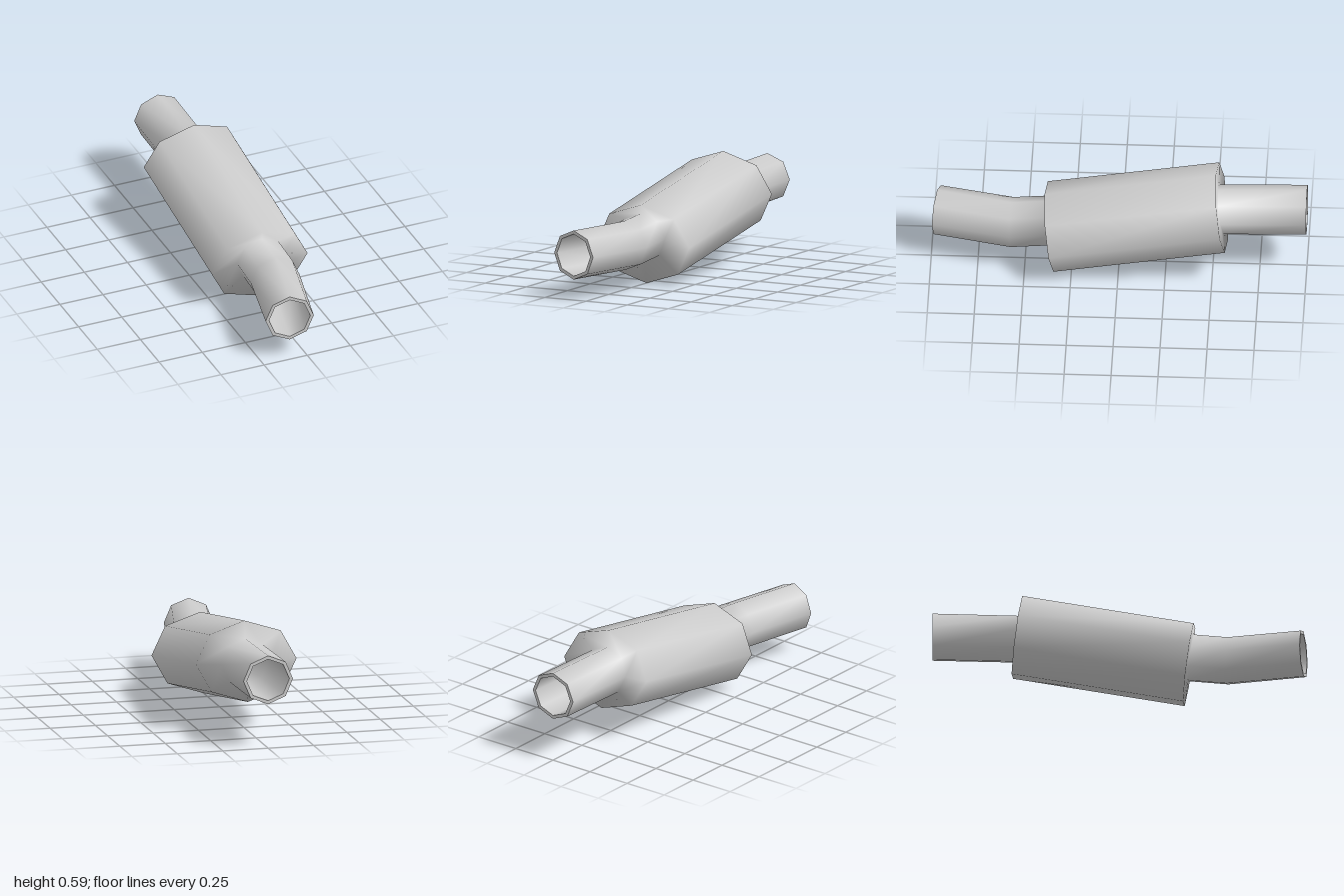
import * as THREE from 'three';

const SIDES = 8;

// One octagonal cross-section: centre, half width, half height, pitch and yaw
function ring([x, y, z, rx, ry, pitch = 0, yaw = 0]) {
  const turn = new THREE.Euler(pitch, yaw, 0, 'YXZ');
  return Array.from({ length: SIDES }, (_, k) => {
    const a = (k / SIDES) * Math.PI * 2;
    return new THREE.Vector3(rx * Math.cos(a), ry * Math.sin(a), 0)
      .applyEuler(turn).add(new THREE.Vector3(x, y, z));
  });
}

// Skin over rings ordered front to back; shared vertices give smooth normals
function loft(rings, inward = false) {
  const points = rings.flat();
  const index = [];
  for (let i = 0; i < rings.length - 1; i++) {
    for (let k = 0; k < SIDES; k++) {
      const n = (k + 1) % SIDES;
      const a = i * SIDES + k, b = i * SIDES + n;
      const c = a + SIDES, d = b + SIDES;
      if (inward) index.push(a, b, d, a, d, c);
      else index.push(a, d, b, a, c, d);
    }
  }
  const geometry = new THREE.BufferGeometry().setFromPoints(points);
  geometry.setIndex(index);
  geometry.computeVertexNormals();
  return geometry;
}

export function createModel() {
  const group = new THREE.Group();
  group.name = 'muffler';
  const material = new THREE.MeshStandardMaterial({ color: 0xcccccc, side: THREE.DoubleSide });
  const add = (name, geometry) => {
    const mesh = new THREE.Mesh(geometry, material);
    mesh.name = name;
    group.add(mesh);
  };

  const R = 0.132, W = 0.136, TILT = 0.15;
  const front = [-0.09, 0.241, 0.973, R, R, 0, -0.17];
  const bend = [0, 0.241, 0.57, 0.137, R, 0.04, -0.08];
  const inlet = [0, 0.258, 0.375, W, R, TILT];
  const outlet = [0, 0.365, -0.545, W, R, TILT];
  const back = [0, 0.376, -1, W, R];

  // Outer skin: bent front pipe, oval tilted can, straight rear pipe
  add('pipeAndCan', loft([
    front, bend, inlet,
    [0, 0.218, 0.365, 0.277, 0.217, TILT],
    [0, 0.376, -0.547, 0.277, 0.217, TILT],
    outlet, back,
  ].map(ring)));

  // Bore running right through
  const bore = (s) => [s[0], s[1], s[2], s[3] - 0.019, s[4] - 0.019, ...s.slice(5)];
  add('bore', loft([front, bend, inlet, outlet, back].map((s) => ring(bore(s))), true));

  // Flat rims at both open ends
  add('frontRim', loft([ring(bore(front)), ring(front)]));
  add('rearRim', loft([ring(back), ring(bore(back))]));
  return group;
}
